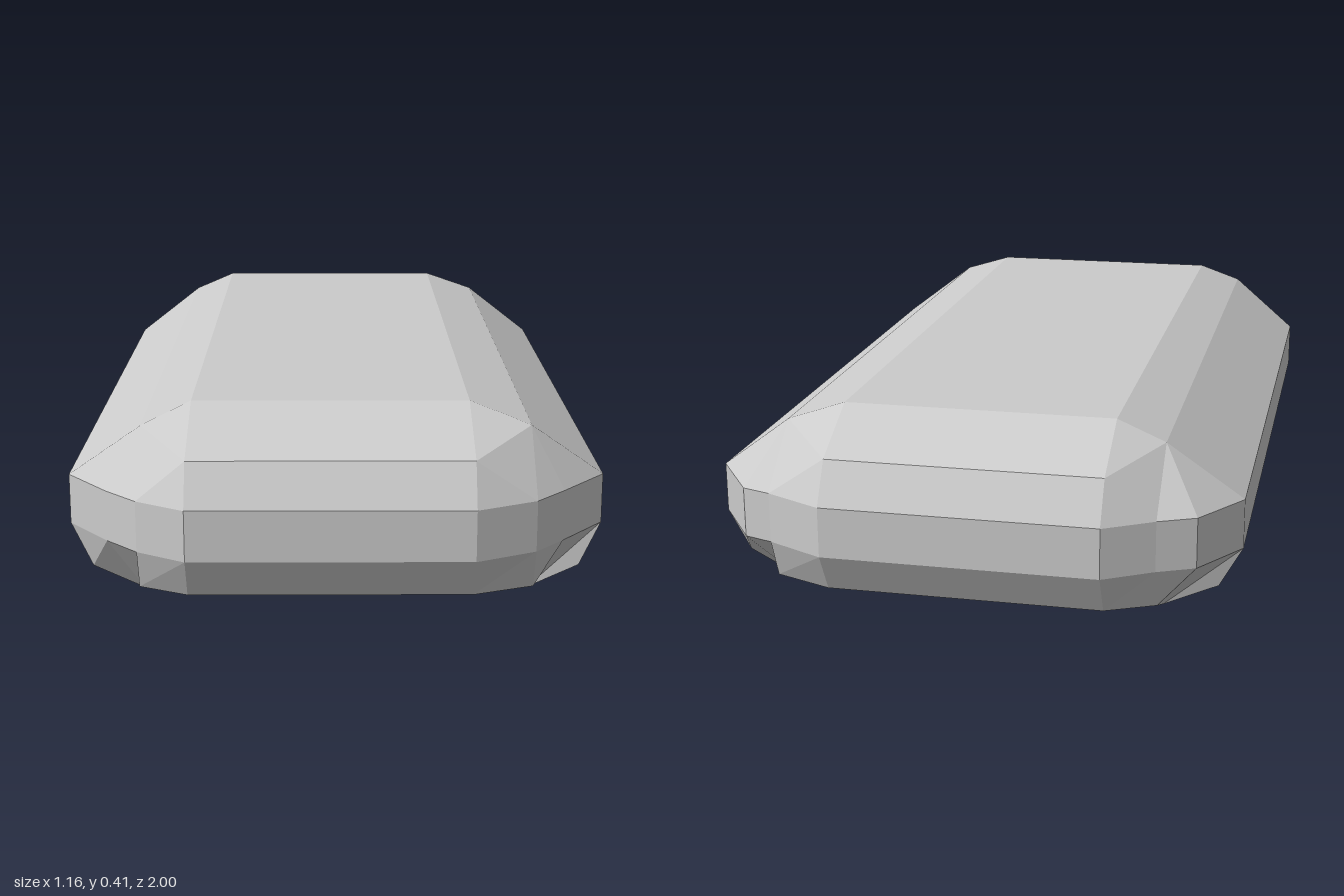
import * as THREE from 'three';

// One rounded corner as stacked rows, bottom to top.
// Each row runs from the long side (A) round to the short end (D).
function cornerRows({ endX, sideZ, midX, midZ, topZ }) {
  const foot = [0.415, 0, 0.8];
  const shoulder = [0.415, 0.365, 0.8];
  const roof = [endX, 0.41, topZ];
  const belt = (y) => [[0.58, y, sideZ], [midX, y, midZ], [0.415, y, 0.937], [endX, y, 1]];
  return [
    [foot, foot, foot, [endX, 0, 0.8]],
    [[0.53, 0.04, 0.77], foot, [0.415, 0.04, 0.9], [endX, 0.04, 0.95]],
    belt(0.13),
    belt(0.24),
    [shoulder, shoulder, shoulder, [endX, 0.33, 0.95]],
    [roof, roof, roof, roof],
  ];
}

// Corners in anticlockwise order seen from above
const corners = [
  { sx: 1, sz: 1, endX: 0.285, sideZ: 0.745, midX: 0.48, midZ: 0.865, topZ: 0.765 },
  { sx: 1, sz: -1, endX: 0.285, sideZ: 0.77, midX: 0.48, midZ: 0.915, topZ: 0.8 },
  { sx: -1, sz: -1, endX: 0.31, sideZ: 0.77, midX: 0.495, midZ: 0.9, topZ: 0.8 },
  { sx: -1, sz: 1, endX: 0.31, sideZ: 0.745, midX: 0.485, midZ: 0.865, topZ: 0.765 },
];

function createBodyGeometry() {
  const rings = [[], [], [], [], [], []];
  for (const c of corners) {
    cornerRows(c).forEach((row, r) => {
      const points = row.map(([x, y, z]) => new THREE.Vector3(x * c.sx, y, z * c.sz));
      if (c.sx * c.sz > 0) points.reverse();
      rings[r].push(...points);
    });
  }

  const positions = [];
  const triangle = (a, b, c) => {
    // skip faces whose corners coincide
    if (new THREE.Triangle(a, b, c).getArea() < 1e-6) return;
    for (const p of [a, b, c]) positions.push(p.x, p.y, p.z);
  };

  // Bands between neighbouring rings
  for (let r = 0; r < rings.length - 1; r++) {
    for (let i = 0; i < 16; i++) {
      const j = (i + 1) % 16;
      const a = rings[r][i], b = rings[r][j];
      const c = rings[r + 1][i], d = rings[r + 1][j];
      const flip = r >= 3 && Math.floor(i / 4) % 2 === 0;
      if (flip) {
        triangle(a, b, c);
        triangle(b, d, c);
      } else {
        triangle(a, b, d);
        triangle(a, d, c);
      }
    }
  }

  // Flat top and underside
  const top = rings[5], base = rings[0];
  for (let i = 1; i < 15; i++) {
    triangle(top[0], top[i], top[i + 1]);
    triangle(base[0], base[i + 1], base[i]);
  }

  const geometry = new THREE.BufferGeometry();
  geometry.setAttribute('position', new THREE.Float32BufferAttribute(positions, 3));
  geometry.computeVertexNormals();
  return geometry;
}

export function createModel() {
  const group = new THREE.Group();
  group.name = 'bevelledSlab';
  const material = new THREE.MeshStandardMaterial({ color: 0xcccccc, flatShading: true });
  const body = new THREE.Mesh(createBodyGeometry(), material);
  body.name = 'body';
  group.add(body);
  return group;
}
